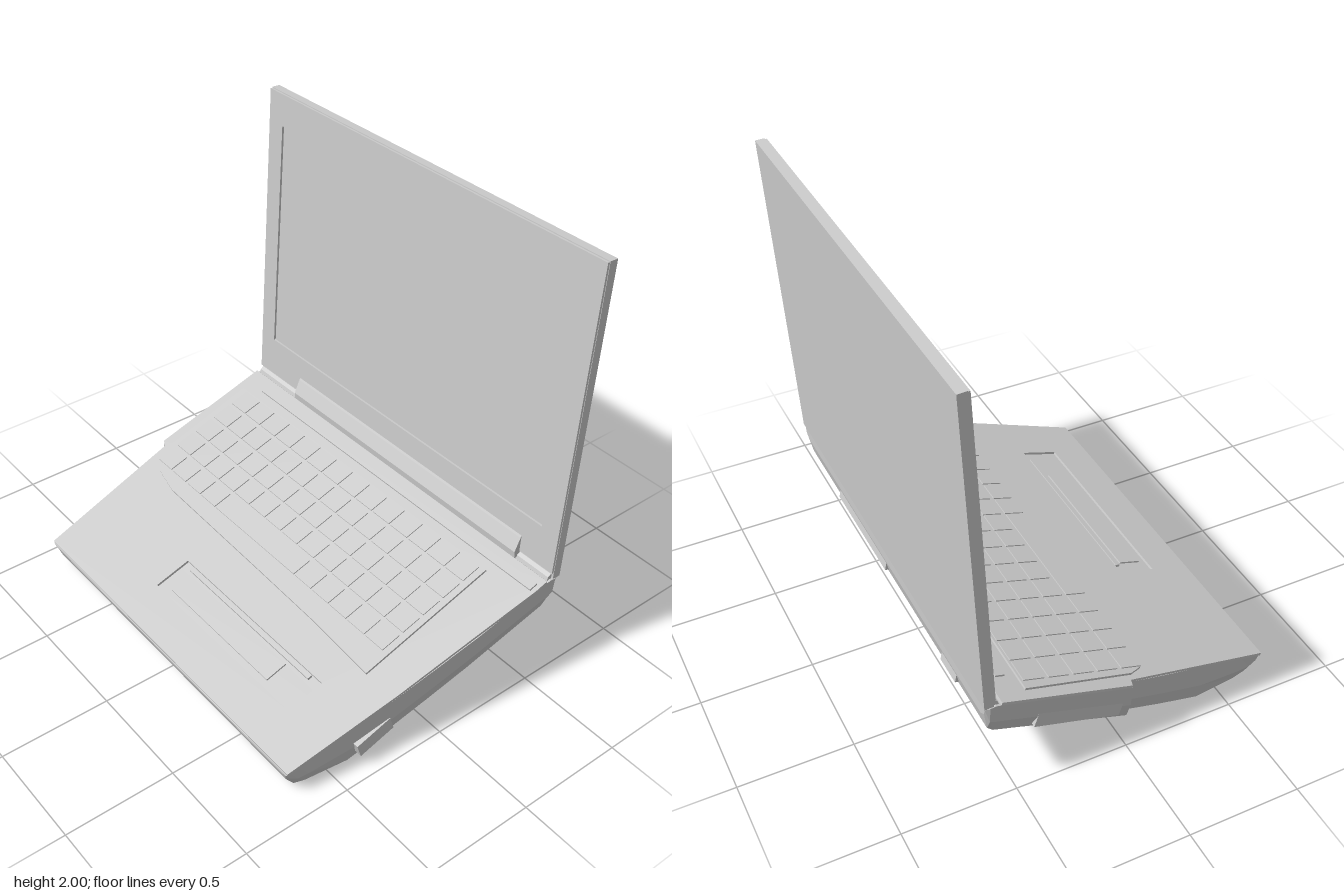
import * as THREE from 'three';

const grey = new THREE.MeshStandardMaterial({ color: 0xcccccc, flatShading: true });

function add(parent, name, geometry, x = 0, y = 0, z = 0) {
  const mesh = new THREE.Mesh(geometry, grey);
  mesh.name = name;
  mesh.position.set(x, y, z);
  parent.add(mesh);
  return mesh;
}

function box(parent, name, w, h, d, x, y, z) {
  return add(parent, name, new THREE.BoxGeometry(w, h, d), x, y, z);
}

function outline(points) {
  return new THREE.Shape(points.map(([x, y]) => new THREE.Vector2(x, y)));
}

function rect(x0, y0, x1, y1) {
  return [[x0, y0], [x1, y0], [x1, y1], [x0, y1]];
}

function plate(parent, name, points, holes, depth, z) {
  const shape = outline(points);
  shape.holes = holes.map((h) => outline(h));
  return add(parent, name, new THREE.ExtrudeGeometry(shape, { depth, bevelEnabled: false }), 0, 0, z);
}

// Sloping palm rest: height at z, and distance up the slope from the front lip
const SLOPE = 0.311, TILT = Math.atan(SLOPE), FRONT = 0.71;
const deckY = (z) => 0.13 + (FRONT - z) * SLOPE;
const along = (z) => (FRONT - z) / Math.cos(TILT);
const onDeck = (points) => points.map(([x, z]) => [x, along(z)]);

// Closed shell lofted through sections: z, drop below deck, bottom y, left x, right x
function baseGeometry() {
  const sections = [
    [0.71, 0.012, 0.11, -0.905, 0.875], [0.69, 0.012, 0.06, -0.91, 0.88],
    [0.655, 0.012, 0.015, -0.912, 0.885], [0.6, 0.012, 0, -0.915, 0.89],
    [0.4, 0.012, 0, -0.935, 0.915], [0.2, 0.012, 0.072, -0.955, 0.94],
    [0.025, 0.012, 0.135, -0.968, 0.957], [0.015, 0.012, 0.138, -1, 0.958],
    [-0.2, 0.012, 0.215, -1, 0.977], [-0.5, 0.012, 0.322, -1, 0.995],
    [-0.585, 0.015, 0.352, -1, 1], [-0.61, 0.025, 0.375, -1, 1], [-0.63, 0.04, 0.46, -0.99, 0.99],
  ];
  const positions = [], index = [], n = 6;
  for (const [z, drop, low, xl, xr] of sections) {
    const top = deckY(z) - drop, mid = low + (top - low) * 0.45;
    const ring = [[xl, top], [xl + 0.006, mid], [xl + 0.035, low], [xr - 0.035, low], [xr - 0.006, mid], [xr, top]];
    for (const [x, y] of ring) positions.push(x, y, z);
  }
  for (let s = 0; s < sections.length - 1; s++) {
    for (let i = 0; i < n; i++) {
      const a = s * n + i, b = s * n + (i + 1) % n, c = a + n, d = b + n;
      index.push(a, c, b, b, c, d);
    }
  }
  const e = (sections.length - 1) * n;
  for (let i = 1; i < n - 1; i++) index.push(0, i, i + 1, e, e + i + 1, e + i);
  const g = new THREE.BufferGeometry();
  g.setAttribute('position', new THREE.Float32BufferAttribute(positions, 3));
  g.setIndex(index);
  const flat = g.toNonIndexed();
  flat.computeVertexNormals();
  return flat;
}

function buildBase() {
  const base = new THREE.Group();
  base.name = 'base';
  add(base, 'baseShell', baseGeometry());

  // Everything on the deck is drawn flat, x across and y up the slope
  const deck = new THREE.Group();
  deck.name = 'deck';
  deck.position.set(0, deckY(FRONT), FRONT);
  deck.rotation.x = TILT - Math.PI / 2;
  base.add(deck);

  const pad = onDeck(rect(-0.3, 0.53, 0.66, 0.36));
  plate(deck, 'palmRest', onDeck([
    [-0.91, 0.71], [0.88, 0.71], [0.94, 0.2], [0.965, -0.1], [1, -0.5], [1, -0.56],
    [-1, -0.56], [-1, 0.015], [-0.968, 0.025],
  ]), [pad], 0.014, -0.014);

  // Touchpad in its recess with a raised button bar
  plate(deck, 'touchpad', onDeck(rect(-0.23, 0.5, 0.47, 0.4)), [], 0.01, -0.014);
  plate(deck, 'touchpadBar', onDeck(rect(-0.25, 0.385, 0.6, 0.365)), [], 0.014, -0.014);

  // Keyboard plate with a swept front left corner
  plate(deck, 'keyboardPlate', onDeck([
    [-0.94, 0.04], [-0.91, 0.1], [-0.84, 0.14], [-0.7, 0.17], [0, 0.185], [0.4, 0.195],
    [0.77, 0.215], [0.77, -0.44], [-0.95, -0.44],
  ]), [], 0.01, 0);

  // Five rows of low keys, the last with a space bar
  const rows = [-0.385, -0.275, -0.165, -0.055, 0.055];
  rows.forEach((z, r) => {
    const count = 14, pitch = 1.66 / count;
    for (let i = 0; i < count; i++) {
      const space = r === 4 && i >= 4 && i <= 8;
      if (space && i !== 6) continue;
      const w = space ? pitch * 5 - 0.012 : pitch - 0.012;
      box(deck, 'key', w, 0.095, 0.006, -0.915 + (i + 0.5) * pitch, along(z), 0.012);
    }
  });

  // Strip of controls behind the keys
  plate(deck, 'controlStrip', onDeck(rect(-0.86, -0.485, 0.98, -0.525)), [], 0.008, 0);

  // Connector block on the left side and drive bay on the other
  for (const [name, x, y, z, d] of [['sidePort', 0.915, 0.115, 0.3, 0.18], ['driveBay', -0.975, 0.29, -0.22, 0.4]]) {
    const port = box(base, name, 0.04, 0.07, d, x, y, z);
    port.rotation.x = TILT;
  }

  // Round feet underneath
  for (const [x, z] of [[0, -0.2], [-0.54, -0.08]]) {
    const foot = add(base, 'foot', new THREE.CylinderGeometry(0.075, 0.05, 0.04, 12), x, 0.355 * (0.4 - z) - 0.012, z);
    foot.rotation.x = Math.atan(0.355);
  }

  // Rear connector cover and vent
  for (const [x, w] of [[0.28, 0.55], [-0.65, 0.14]]) {
    const cover = box(base, 'rearCover', w, 0.06, 0.02, x, 0.43, -0.617);
    cover.rotation.x = 0.2;
  }
  return base;
}

function buildLid() {
  const lid = new THREE.Group();
  lid.name = 'lid';
  lid.position.set(0, 0.52, -0.61);
  lid.rotation.x = -0.0506;
  const H = 1.481;
  // Back shell, bezel around the sunk screen
  box(lid, 'lidShell', 2, H, 0.04, 0, H / 2, -0.005);
  plate(lid, 'bezel', rect(-0.998, 0.03, 0.998, H - 0.004), [rect(-0.905, 0.22, 0.905, 1.33)], 0.01, 0.015);
  // Sloped chin over the hinge
  const chin = outline([[-0.02, 0], [0.05, 0], [0.055, 0.035], [0.03, 0.1], [0.02, 0.12], [-0.02, 0.12]]);
  const bar = add(lid, 'hingeCover', new THREE.ExtrudeGeometry(chin, { depth: 1.5, bevelEnabled: false }), 0.81);
  bar.rotation.y = -Math.PI / 2;
  return lid;
}

function buildHinge(group) {
  const hinge = add(group, 'hingeBarrel', new THREE.CylinderGeometry(0.03, 0.03, 1.98, 10), 0, 0.515, -0.6);
  hinge.rotation.z = Math.PI / 2;
}

export function createModel() {
  const model = new THREE.Group();
  model.name = 'laptop';
  model.add(buildBase(), buildLid());
  buildHinge(model);
  return model;
}
